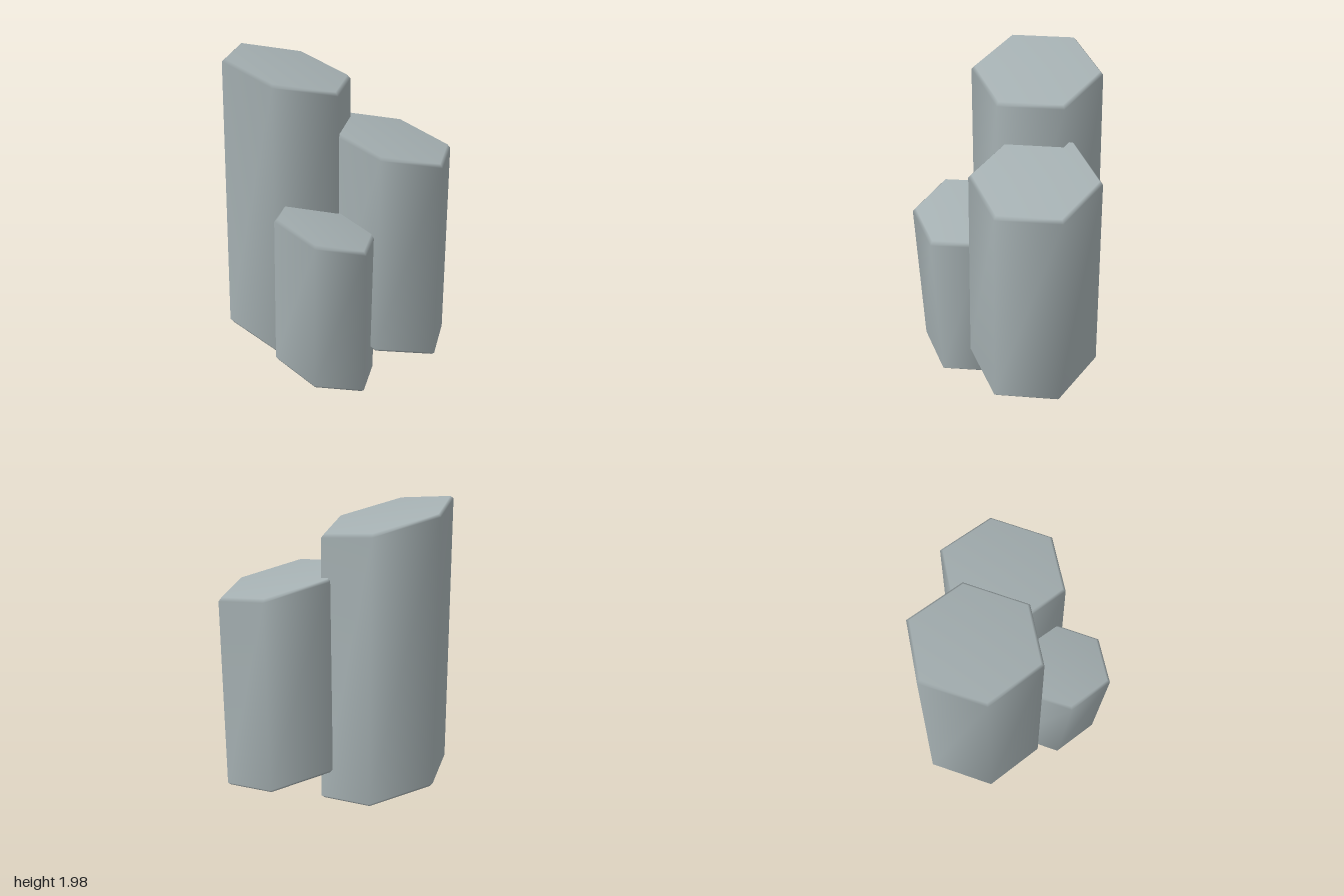
import * as THREE from 'three';

// Leaning hexagonal column with parallel slanted ends and narrow softened rims.
// top / bottom are [x, y, z] centres of the ends; sx, sz are the slopes of the ends.
function columnGeometry({ r, top, bottom, sx, sz }) {
  const bevel = 0.02;
  const positions = [];
  const index = [];
  const ring = (c, radius, dy) => {
    for (let i = 0; i < 6; i++) {
      const a = (i * Math.PI) / 3;
      const x = Math.cos(a) * radius;
      const z = Math.sin(a) * radius;
      positions.push(c[0] + x, c[1] + dy + sx * x + sz * z, c[2] + z);
    }
  };
  ring(bottom, r - bevel, 0);
  ring(bottom, r, bevel);
  ring(top, r, -bevel);
  ring(top, r - bevel, 0);
  positions.push(...bottom, ...top);

  for (let i = 0; i < 6; i++) {
    const j = (i + 1) % 6;
    // rims and side
    for (let k = 0; k < 3; k++) {
      const a = k * 6 + i, b = k * 6 + j, c = a + 6, d = b + 6;
      index.push(a, c, b, b, c, d);
    }
    // end faces
    index.push(24, i, j, 25, 18 + j, 18 + i);
  }
  const geometry = new THREE.BufferGeometry();
  geometry.setAttribute('position', new THREE.Float32BufferAttribute(positions, 3));
  geometry.setIndex(index);
  geometry.computeVertexNormals();
  return geometry;
}

export function createModel() {
  const group = new THREE.Group();
  group.name = 'stoneColumns';
  const stone = new THREE.MeshStandardMaterial({ color: 0xa6b1b3 });
  stone.name = 'greyStone';

  const columns = {
    tallColumn: { r: 0.41, top: [-0.29, 1.913, -0.23], bottom: [-0.29, 0.165, -0.23], sx: -0.22, sz: -0.127 },
    middleColumn: { r: 0.402, top: [0.293, 1.48, 0.034], bottom: [0.27, 0.2, 0.034], sx: -0.23, sz: -0.133 },
    shortColumn: { r: 0.32, top: [-0.228, 1.062, 0.305], bottom: [-0.218, 0.1, 0.25], sx: -0.27, sz: -0.17 },
  };
  for (const [name, spec] of Object.entries(columns)) {
    const mesh = new THREE.Mesh(columnGeometry(spec), stone);
    mesh.name = name;
    group.add(mesh);
  }
  return group;
}
